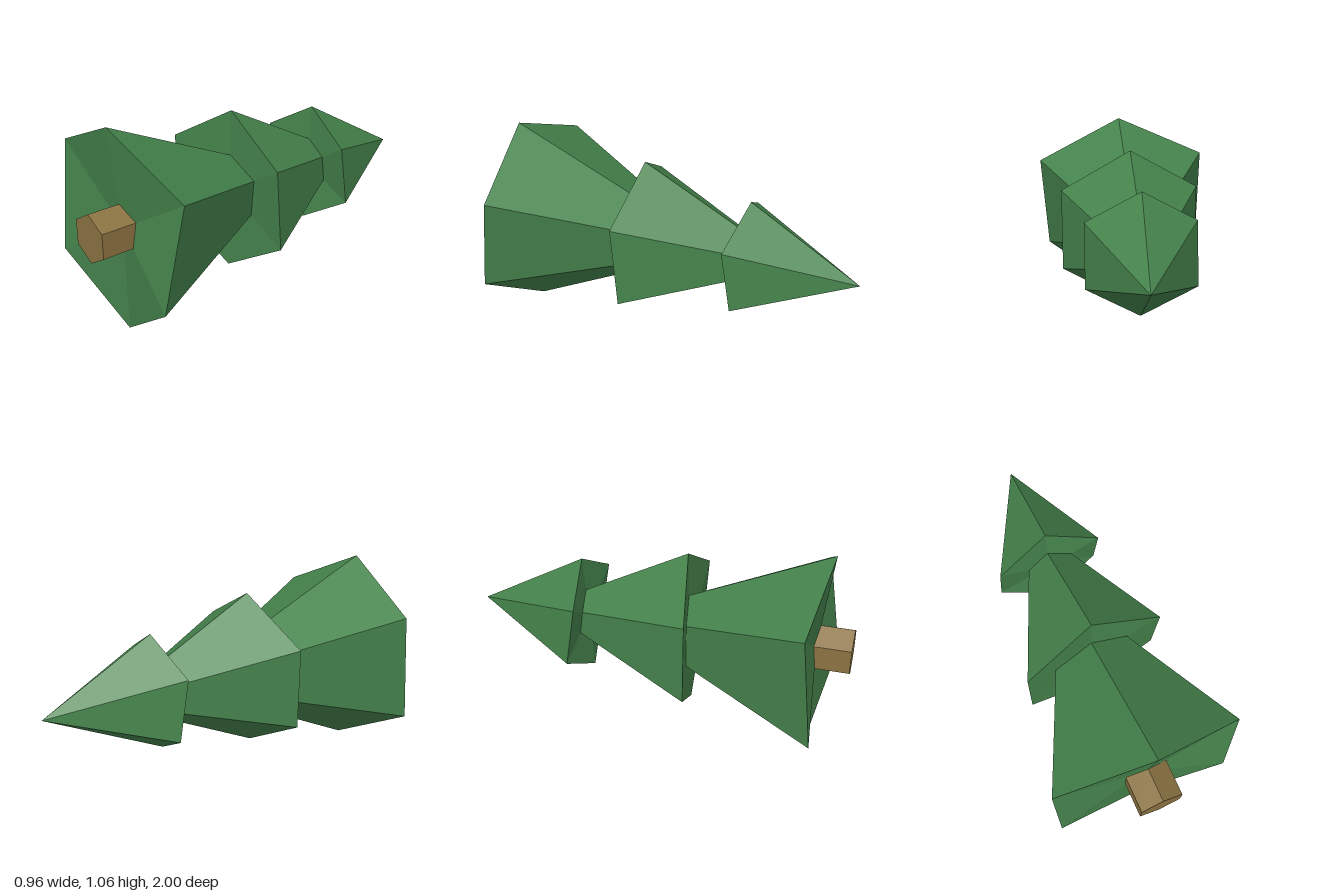
import * as THREE from 'three';

const AXIS = [0.005, 0.552]; // x, y of the tree's long axis
const green = new THREE.MeshStandardMaterial({ color: 0x45834c, flatShading: true });
const brown = new THREE.MeshStandardMaterial({ color: 0x8a7241, flatShading: true });

// Six-sided cone with an uneven rim, closed underneath by a fan to a hub.
function tier(name, rim, apex, hubZ) {
  const hub = [...AXIS, hubZ];
  const pos = [];
  rim.forEach((a, i) => {
    const b = rim[(i + 1) % rim.length];
    pos.push(...apex, ...a, ...b); // sloping side
    pos.push(...hub, ...b, ...a); // underside
  });
  const geo = new THREE.BufferGeometry();
  geo.setAttribute('position', new THREE.Float32BufferAttribute(pos, 3));
  geo.computeVertexNormals();
  const mesh = new THREE.Mesh(geo, green);
  mesh.name = name;
  return mesh;
}

export function createModel() {
  const tree = new THREE.Group();
  tree.name = 'lyingTree';

  // Trunk: short hexagonal prism along z
  const trunk = new THREE.Mesh(new THREE.CylinderGeometry(0.125, 0.125, 0.3, 6), brown);
  trunk.name = 'trunk';
  trunk.rotation.x = Math.PI / 2;
  trunk.position.set(...AXIS, 0.85);
  tree.add(trunk);

  // Foliage tiers; each rim runs clockwise from the top corner
  tree.add(tier('lowerFoliage', [
    [0.005, 1.063, 0.875], [0.48, 0.825, 0.812], [0.435, 0.3, 0.903],
    [0.005, 0.003, 0.815], [-0.47, 0.277, 0.87], [-0.483, 0.857, 0.808],
  ], [...AXIS, -0.27], 0.818));

  tree.add(tier('middleFoliage', [
    [0.005, 0.977, 0.148], [0.372, 0.765, 0.175], [0.37, 0.34, 0.145],
    [0.005, 0.13, 0.178], [-0.36, 0.34, 0.222], [-0.365, 0.765, 0.224],
  ], [...AXIS, -0.67], 0.163));

  tree.add(tier('topFoliage', [
    [0.005, 0.87, -0.42], [0.278, 0.714, -0.37], [0.278, 0.395, -0.42],
    [0.005, 0.236, -0.37], [-0.273, 0.395, -0.42], [-0.273, 0.714, -0.37],
  ], [0.03, 0.544, -1], -0.393));

  return tree;
}
